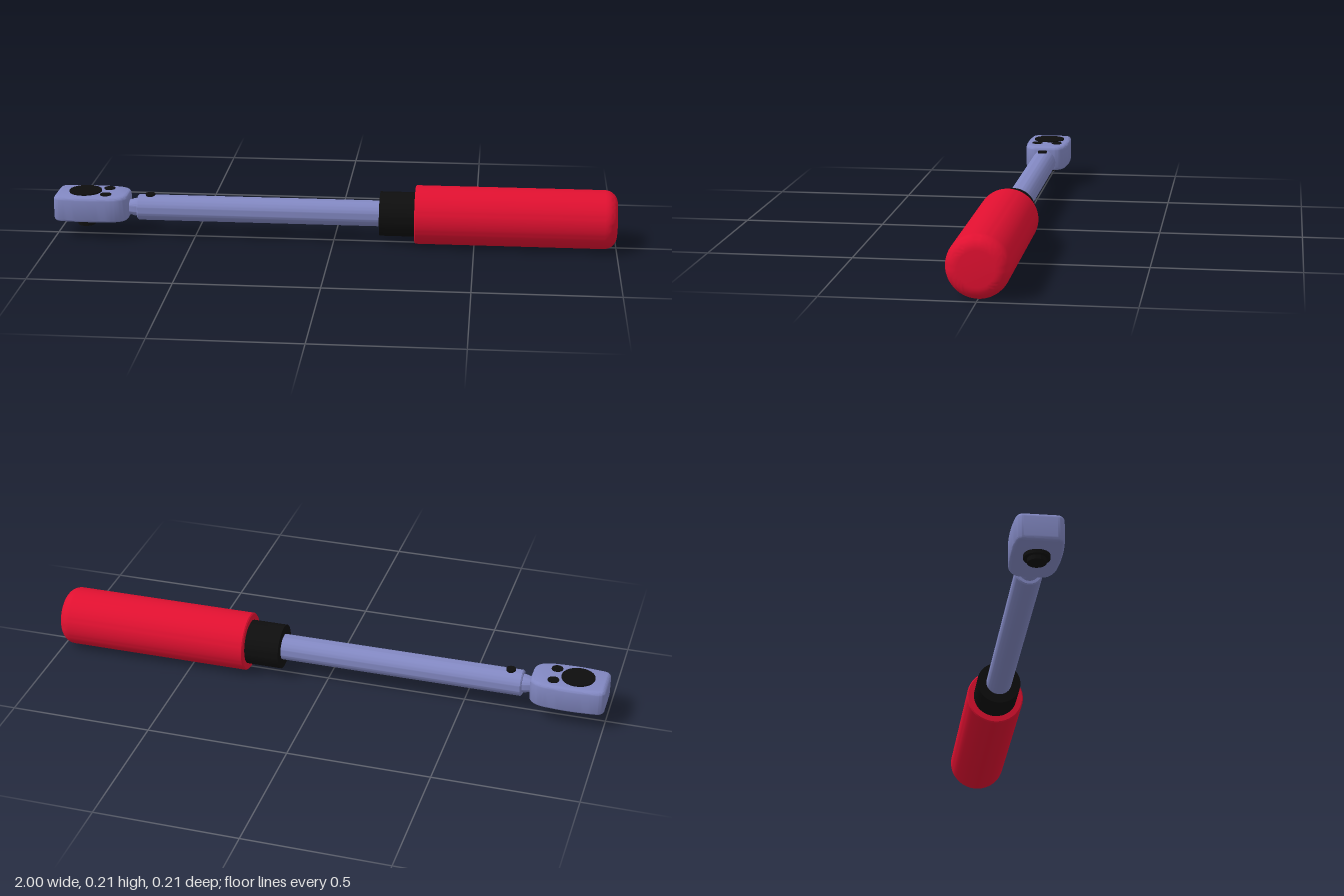
import * as THREE from 'three';
import { toCreasedNormals } from 'three/addons/utils/BufferGeometryUtils.js';

const AXIS_Y = 0.106;
const paint = (color) => new THREE.MeshStandardMaterial({ color });

export function createModel() {
  const group = new THREE.Group();
  const steel = paint(0x8288c2), black = paint(0x0e0e0e), red = paint(0xe01030);

  const add = (name, geometry, material) => {
    const mesh = new THREE.Mesh(toCreasedNormals(geometry, 0.6), material);
    mesh.name = name;
    group.add(mesh);
    return mesh;
  };

  // Solid of revolution along the tool's axis, from [x, radius] pairs
  const turned = (name, profile, material) => {
    const points = profile.map(([x, r]) => new THREE.Vector2(r, -x)).reverse();
    const geometry = new THREE.LatheGeometry(points, 64);
    geometry.rotateZ(Math.PI / 2);
    return add(name, geometry, material).position.setY(AXIS_Y);
  };

  // Upright disc from y0 to y1
  const disc = (name, x, z, r, y0, y1) =>
    add(name, new THREE.CylinderGeometry(r, r, y1 - y0, 40), black).position.set(x, (y0 + y1) / 2, z);

  // Grip with a rounded butt
  const grip = [[0.29, 0], [0.29, 0.1], [0.294, 0.104]];
  for (let i = 0; i <= 8; i++) {
    const a = (i / 8) * Math.PI / 2;
    grip.push([0.955 + 0.045 * Math.sin(a), 0.059 + 0.045 * Math.cos(a)]);
  }
  grip.push([1, 0]);
  turned('grip', grip, red);

  // Collar, shaft and neck
  turned('collar', [[0.165, 0], [0.165, 0.079], [0.3, 0.079], [0.3, 0]], black);
  turned('shaft', [[-0.705, 0], [-0.705, 0.042], [-0.701, 0.046], [0.17, 0.046], [0.17, 0]], steel);
  turned('neck', [[-0.75, 0.024], [-0.735, 0.026], [-0.715, 0.032], [-0.7, 0.032]], steel);

  // Ratchet head: bulged plan outline, bevelled above and below
  const b = 0.014;
  const x0 = -1 + b, x1 = -0.735 - b;
  const plan = new THREE.Shape();
  plan.moveTo(x0, -0.052);
  plan.quadraticCurveTo(x0, -0.062, x0 + 0.012, -0.064);
  plan.quadraticCurveTo(-0.89, -0.075, x1 - 0.05, -0.066);
  plan.quadraticCurveTo(x1, -0.06, x1, -0.03);
  plan.lineTo(x1, 0.03);
  plan.quadraticCurveTo(x1, 0.06, x1 - 0.05, 0.066);
  plan.quadraticCurveTo(-0.89, 0.075, x0 + 0.012, 0.064);
  plan.quadraticCurveTo(x0, 0.062, x0, 0.052);
  plan.closePath();
  const head = new THREE.ExtrudeGeometry(plan, {
    depth: 0.094 - 2 * b, bevelThickness: b, bevelSize: b, bevelSegments: 5, curveSegments: 12,
  });
  head.rotateX(-Math.PI / 2);
  head.translate(0, 0.066 + b, 0);
  add('ratchetHead', head, steel);

  // Selector dial, screws, drive and shaft pin
  disc('selectorDial', -0.895, 0, 0.058, 0.14, 0.165);
  for (const side of [-1, 1]) disc('headScrew', -0.815, side * 0.038, 0.02, 0.14, 0.163);
  disc('driveFlange', -0.895, 0, 0.043, 0.053, 0.08);
  disc('drive', -0.895, 0, 0.031, 0.038, 0.06);
  disc('shaftPin', -0.66, 0, 0.017, 0.12, 0.158);

  return group;
}
